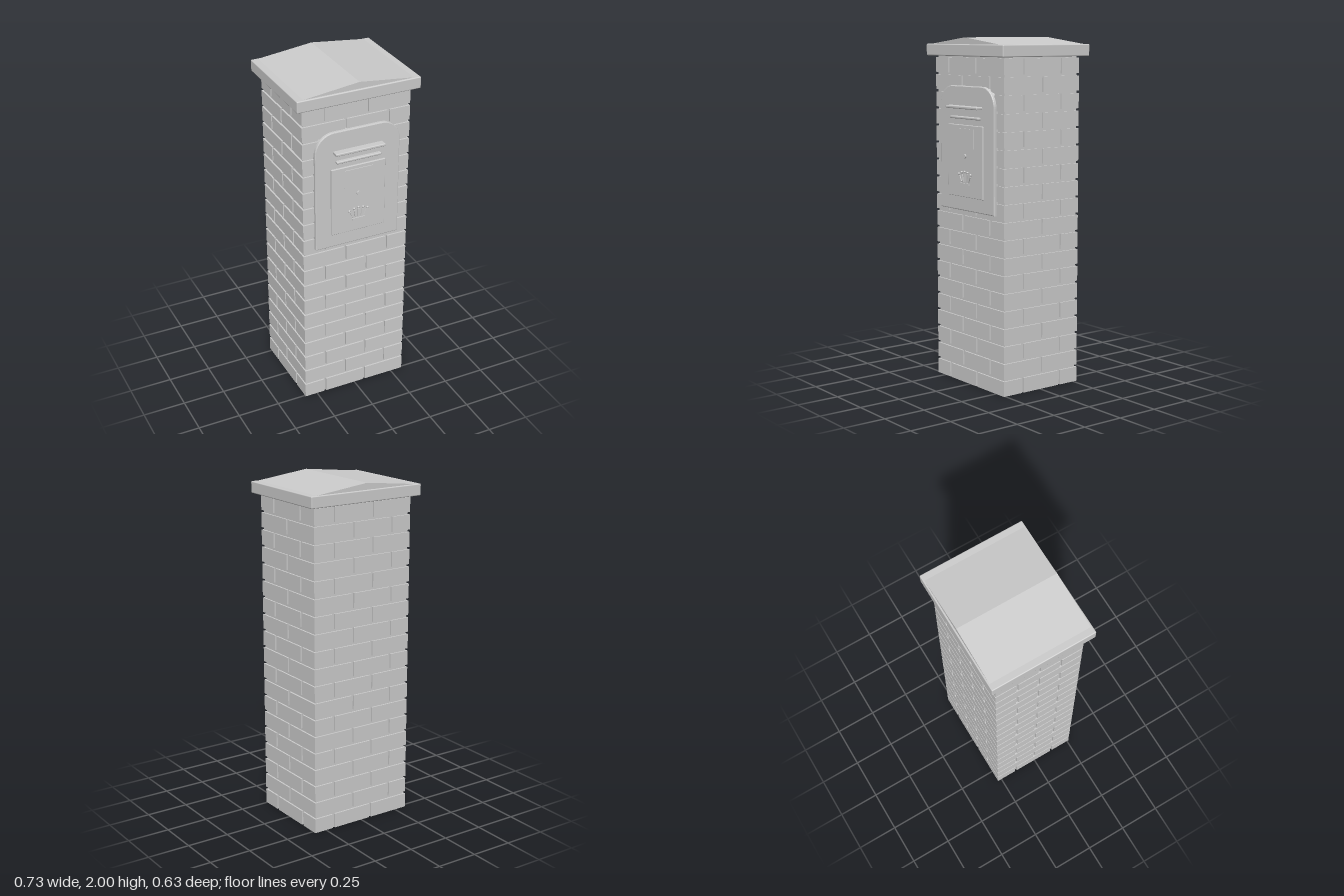
import * as THREE from 'three';
import { RoundedBoxGeometry } from 'three/addons/geometries/RoundedBoxGeometry.js';

const stone = new THREE.MeshStandardMaterial({ color: 0xcccccc });
stone.name = 'light grey';

function add(parent, name, geometry, x = 0, y = 0, z = 0) {
  const mesh = new THREE.Mesh(geometry, stone);
  mesh.name = name;
  mesh.position.set(x, y, z);
  parent.add(mesh);
  return mesh;
}

// Box given by its limits on each axis
function block(parent, name, x0, x1, y0, y1, z0, z1, radius = 0) {
  const size = [x1 - x0, y1 - y0, z1 - z0];
  const geo = radius ? new RoundedBoxGeometry(...size, 2, radius) : new THREE.BoxGeometry(...size);
  return add(parent, name, geo, (x0 + x1) / 2, (y0 + y1) / 2, (z0 + z1) / 2);
}

const X = 0.325, ZF = 0.26, ZB = -0.275, TOP = 1.9;
const JOINT = 0.014, DEPTH = 0.01, COURSES = 19;

// One course on one wall: cuts are the joint positions along the wall
function course(length, cuts, place) {
  const stops = [0, ...cuts, length];
  for (let i = 0; i < stops.length - 1; i++) {
    const a = stops[i] + (i > 0 ? JOINT / 2 : 0);
    const b = stops[i + 1] - (i < stops.length - 2 ? JOINT / 2 : 0);
    place(a, b);
  }
}

function brickPillar() {
  const pillar = new THREE.Group();
  pillar.name = 'brickPillar';
  block(pillar, 'mortarCore', -X + DEPTH, X - DEPTH, 0, TOP, ZB + DEPTH, ZF - DEPTH);
  const pitch = TOP / COURSES, width = 2 * X, depth = ZF - ZB;
  for (let r = 0; r < COURSES; r++) {
    const y0 = r * pitch, y1 = y0 + pitch - JOINT;
    const odd = r % 2;
    const wide = (odd ? [0.4, 0.8] : [0.2, 0.6]).map(f => f * width);
    const narrow = (odd ? [0.5] : [0.25, 0.75]).map(f => f * depth);
    course(width, wide, (a, b) => {
      block(pillar, 'frontBrick', a - X, b - X, y0, y1, ZF - DEPTH, ZF);
      block(pillar, 'backBrick', X - b, X - a, y0, y1, ZB, ZB + DEPTH);
    });
    course(depth, narrow, (a, b) => {
      block(pillar, 'leftBrick', X - DEPTH, X, y0, y1, ZF - b, ZF - a);
      block(pillar, 'rightBrick', -X, -X + DEPTH, y0, y1, ZB + a, ZB + b);
    });
  }
  return pillar;
}

function cap() {
  const group = new THREE.Group();
  group.name = 'cap';
  block(group, 'capSlab', -0.367, 0.367, 1.895, 1.962, -0.317, 0.299, 0.006);
  // Low gabled top with its ridge running front to back
  const gable = new THREE.Shape([
    new THREE.Vector2(-0.362, 1.958), new THREE.Vector2(0.362, 1.958), new THREE.Vector2(0, 2),
  ]);
  add(group, 'capGable', new THREE.ExtrudeGeometry(gable, { depth: 0.596, bevelEnabled: false }), 0, 0, -0.308);
  return group;
}

function mailbox() {
  const group = new THREE.Group();
  group.name = 'mailbox';

  // Face plate with rounded upper corners
  const w = 0.252, y0 = 1.024, y1 = 1.724, r = 0.11;
  const s = new THREE.Shape();
  s.moveTo(-w, y0);
  s.lineTo(w, y0);
  s.lineTo(w, y1 - r);
  s.absarc(w - r, y1 - r, r, 0, Math.PI / 2, false);
  s.absarc(-w + r, y1 - r, r, Math.PI / 2, Math.PI, false);
  s.closePath();
  add(group, 'facePlate', new THREE.ExtrudeGeometry(s, {
    depth: 0.027, bevelSize: 0.005, bevelThickness: 0.005, bevelSegments: 2, curveSegments: 10,
  }), 0, 0, 0.246);

  // Letter slot: projecting hood and lower lip
  block(group, 'slotHood', -0.15, 0.15, 1.602, 1.618, 0.27, 0.318, 0.005);
  block(group, 'slotLip', -0.135, 0.135, 1.544, 1.558, 0.27, 0.298, 0.005);

  // Door with a label panel
  block(group, 'door', -0.165, 0.165, 1.1, 1.51, 0.272, 0.289, 0.003);
  block(group, 'labelPanel', -0.085, 0.085, 1.38, 1.49, 0.285, 0.294);

  // Lock
  const lock = add(group, 'lock', new THREE.CylinderGeometry(0.013, 0.013, 0.012, 16), 0, 1.335, 0.292);
  lock.rotation.x = Math.PI / 2;

  // Fan ornament: a bar, five prongs and a stud on each
  block(group, 'ornamentBar', -0.04, 0.04, 1.168, 1.18, 0.286, 0.296);
  for (let i = -2; i <= 2; i++) {
    const tip = new THREE.Vector3(i * 0.028, 1.245 - 0.0035 * i * i, 0.291);
    const foot = new THREE.Vector3(i * 0.017, 1.187, 0.291);
    const prong = add(group, 'ornamentProng', new THREE.BoxGeometry(0.008, tip.distanceTo(foot) - 0.012, 0.008));
    prong.position.copy(tip).lerp(foot, 0.6);
    prong.rotation.z = Math.atan2(foot.x - tip.x, tip.y - foot.y);
    add(group, 'ornamentStud', new THREE.SphereGeometry(0.007, 10, 8), tip.x, tip.y, 0.292);
  }
  return group;
}

export function createModel() {
  const model = new THREE.Group();
  model.name = 'brickMailboxPillar';
  model.add(brickPillar(), cap(), mailbox());
  return model;
}
